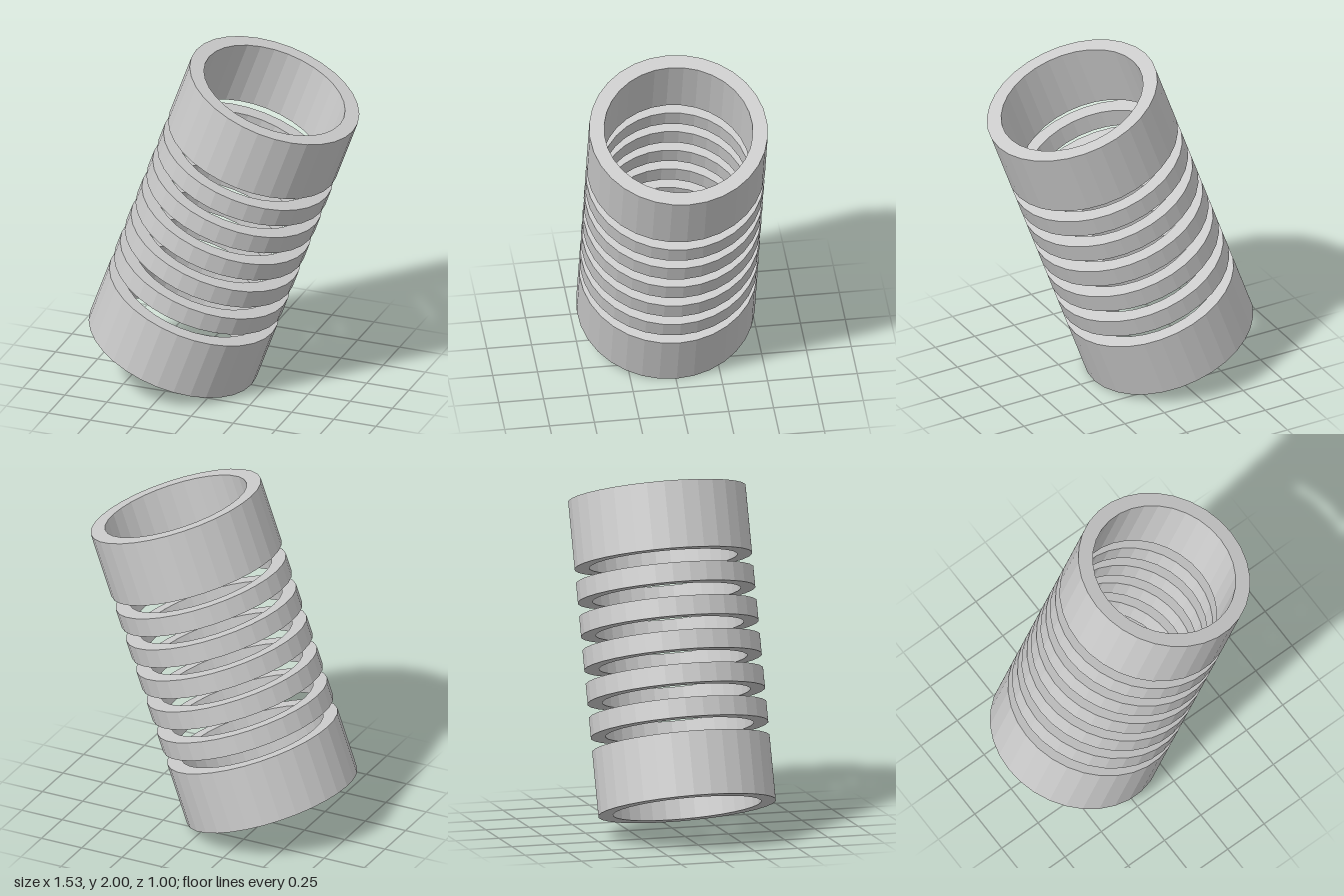
import * as THREE from 'three';

const OUTER = 0.495, INNER = 0.412, SIDES = 32;
const BOTTOM_H = 0.361, RING_H = 0.109, TOP_H = 0.378, GAP = 0.08, RINGS = 5;

const material = new THREE.MeshStandardMaterial({ color: 0xcccccc, flatShading: true });

// Hollow ring with a rectangular section, standing on its own base
function hoop(name, height, y) {
  const section = [[INNER, 0], [OUTER, 0], [OUTER, height], [INNER, height], [INNER, 0]]
    .map(([r, h]) => new THREE.Vector2(r, h));
  const mesh = new THREE.Mesh(new THREE.LatheGeometry(section, SIDES), material);
  mesh.name = name;
  mesh.position.y = y;
  return mesh;
}

export function createModel() {
  const model = new THREE.Group();
  model.name = 'tiltedRingStack';

  const total = BOTTOM_H + TOP_H + RINGS * RING_H + (RINGS + 1) * GAP;
  const stack = new THREE.Group();
  stack.name = 'ringStack';
  let y = -total / 2;

  // Tall collar at the bottom
  stack.add(hoop('bottomCollar', BOTTOM_H, y));
  y += BOTTOM_H + GAP;

  // Evenly spaced thin rings
  for (let i = 0; i < RINGS; i++) {
    stack.add(hoop(`thinRing${i + 1}`, RING_H, y));
    y += RING_H + GAP;
  }

  // Tall collar at the top
  stack.add(hoop('topCollar', TOP_H, y));

  // Lean the whole stack to its left, with a trace of forward tilt
  stack.rotation.set(0.005, 0, THREE.MathUtils.degToRad(-20));
  stack.position.y = 1;
  model.add(stack);
  return model;
}
